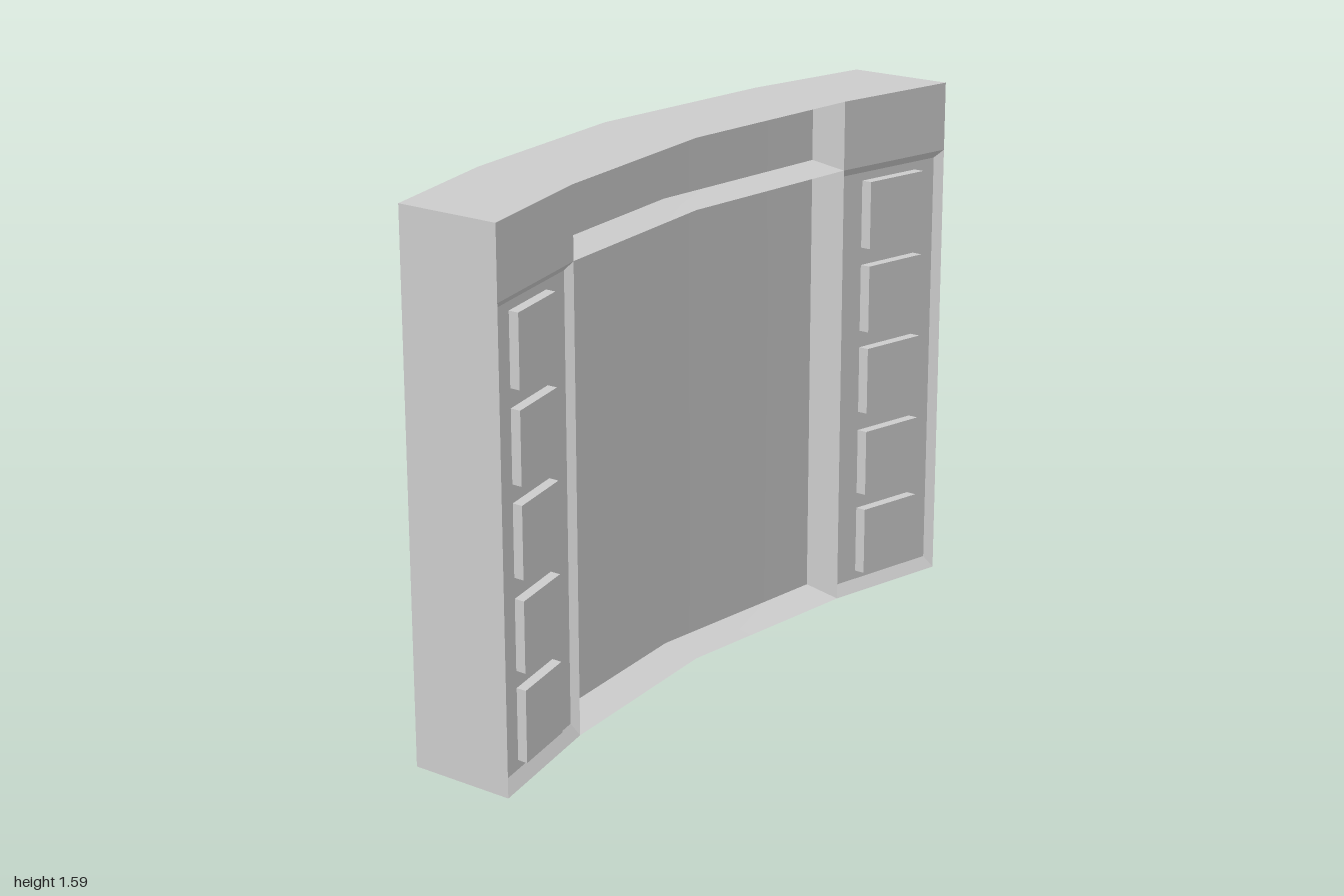
import * as THREE from 'three';
import { toCreasedNormals } from 'three/addons/utils/BufferGeometryUtils.js';

const material = new THREE.MeshStandardMaterial({ color: 0xcccccc });

// Plan of the wall's front edge as [x, z]; the wall is this line swept straight back.
const FRONT = [[-0.388, 1], [-0.26, 0.58], [0, 0], [0.383, -0.525], [0.67, -0.835]];
const OUT = [0.863, 0.505]; // direction the wall faces in plan
const THICK = 0.33, HEIGHT = 1.59, RAIL = 1.38;

// Point on the wall: s = station along the front edge (0..4), d = depth behind it.
function at(s, y, d = 0) {
  const i = Math.min(Math.floor(s), 3), t = s - i;
  const [a, b] = [FRONT[i], FRONT[i + 1]];
  return [
    a[0] + (b[0] - a[0]) * t - OUT[0] * d, y,
    a[1] + (b[1] - a[1]) * t - OUT[1] * d,
  ];
}

// Mesh from four-cornered faces, smooth over the gentle bends.
function quadMesh(name, quads) {
  const pos = [];
  for (const [a, b, c, d] of quads) pos.push(...a, ...b, ...c, ...a, ...c, ...d);
  const geo = new THREE.BufferGeometry();
  geo.setAttribute('position', new THREE.Float32BufferAttribute(pos, 3));
  const mesh = new THREE.Mesh(toCreasedNormals(geo, Math.PI / 6), material);
  mesh.name = name;
  return mesh;
}

// Faces between a lower and an upper row of points.
const strip = (low, high) =>
  low.slice(1).map((p, i) => [low[i], p, high[i + 1], high[i]]);
const row = (stations, y, d) => stations.map((s) => at(s, y, d));

// Sunken panel with sloping borders.
function recess(name, stations, [y0, y1], [in0, in1], depth, side = 0) {
  const last = stations.length - 1;
  const inner = stations.map((s, i) => s + (i === 0 ? side : i === last ? -side : 0));
  const oLow = row(stations, y0, 0), oHigh = row(stations, y1, 0);
  const iLow = row(inner, y0 + in0, depth), iHigh = row(inner, y1 - in1, depth);
  return quadMesh(name, [
    ...strip(iLow, iHigh), ...strip(oLow, iLow), ...strip(iHigh, oHigh),
    [oLow[0], iLow[0], iHigh[0], oHigh[0]],
    [iLow[last], oLow[last], oHigh[last], iHigh[last]],
  ]);
}

// Raised block standing on a pilaster panel.
function block(name, s0, s1, y0, y1, back, front) {
  const f = [at(s0, y0, front), at(s1, y0, front), at(s1, y1, front), at(s0, y1, front)];
  const b = [at(s0, y0, back), at(s1, y0, back), at(s1, y1, back), at(s0, y1, back)];
  const sides = f.map((p, i) => {
    const j = (i + 1) % 4;
    return [b[i], b[j], f[j], p];
  });
  return quadMesh(name, [f, ...sides]);
}

export function createModel() {
  const model = new THREE.Group();
  model.name = 'curvedWall';
  const all = [0, 1, 2, 3, 4];

  // Back, top, underside and the two ends
  const end = (s) => [at(s, 0, THICK), at(s, 0, 0), at(s, HEIGHT, 0), at(s, HEIGHT, THICK)];
  model.add(quadMesh('wallShell', [
    ...strip(row(all, HEIGHT, THICK), row(all, 0, THICK)),
    ...strip(row(all, HEIGHT, 0), row(all, HEIGHT, THICK)),
    ...strip(row(all, 0, THICK), row(all, 0, 0)),
    end(0), end(4).reverse(),
  ]));

  // Deep middle bay, divided by a wedge-shaped rail
  const bay = [1, 2, 3];
  model.add(recess('mainPanel', bay, [0, RAIL], [0.02, 0.018], 0.116));
  model.add(recess('upperPanel', bay, [RAIL, HEIGHT], [0.016, 0.015], 0.116));

  // Pilasters at both ends: flush cap, shallow panel and five raised blocks
  const rows = [[0.06, 0.272], [0.322, 0.53], [0.59, 0.8], [0.853, 1.063], [1.118, 1.328]];
  const pilasters = [['right', 0, 0.24, 0.73], ['left', 3, 0.255, 0.78]];
  for (const [side, s, a, b] of pilasters) {
    const pilaster = new THREE.Group();
    pilaster.name = side + 'Pilaster';
    const ends = [s, s + 1];
    pilaster.add(quadMesh('pilasterCap', strip(row(ends, RAIL, 0), row(ends, HEIGHT, 0))));
    pilaster.add(recess('pilasterPanel', ends, [0, RAIL], [0.033, 0.027], 0.027, 0.027));
    for (const [y0, y1] of rows) {
      pilaster.add(block('pilasterBlock', s + a, s + b, y0, y1, 0.027, -0.005));
    }
    model.add(pilaster);
  }
  return model;
}
